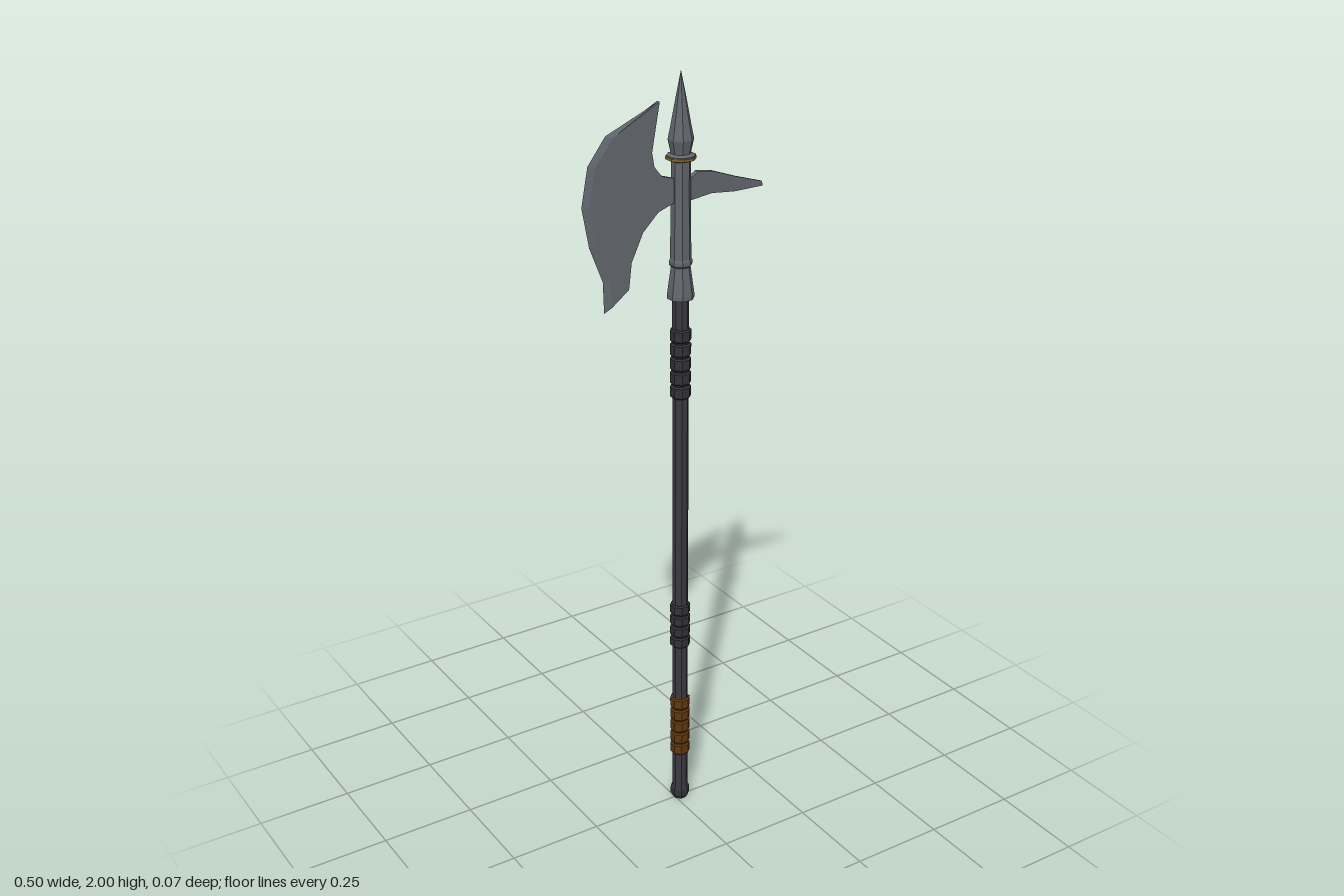
import * as THREE from 'three';

const mat = (name, color, side = THREE.FrontSide) => {
  const m = new THREE.MeshStandardMaterial({ color, flatShading: true, side });
  m.name = name;
  return m;
};

export function createModel() {
  const steel = mat('steel', 0x62676e);
  const bladeSteel = mat('bladeSteel', 0x646970, THREE.DoubleSide);
  const wood = mat('darkWood', 0x3a3a41);
  const wrap = mat('blackWrap', 0x323237);
  const leather = mat('brownLeather', 0x60380f);
  const brass = mat('brass', 0x8a6828);

  const model = new THREE.Group();
  model.name = 'poleaxe';
  const axisX = 0.016;

  const add = (name, geometry, material, parent = model) => {
    const mesh = new THREE.Mesh(geometry, material);
    mesh.name = name;
    parent.add(mesh);
    return mesh;
  };

  // Eight-sided turned part; profile is [half width across flats, height], bottom to top
  const turned = (name, profile, material, parent) => {
    const pts = profile.map(([a, y]) => new THREE.Vector2(a / Math.cos(Math.PI / 8), y));
    const mesh = add(name, new THREE.LatheGeometry(pts, 8, Math.PI / 8), material, parent);
    mesh.position.x = axisX;
    return mesh;
  };

  // Shaft and pommel
  turned('shaft', [[0.019, 0.03], [0.019, 1.47]], wood);
  turned('pommel', [[0, 0], [0.018, 0], [0.024, 0.013], [0.024, 0.03], [0.019, 0.04], [0, 0.04]], wrap);

  // Bands wound around the shaft
  const bands = (name, y0, y1, count, material) => {
    const group = new THREE.Group();
    group.name = name;
    model.add(group);
    const step = (y1 - y0) / count;
    for (let i = 0; i < count; i++) {
      const y = y0 + i * step;
      turned('band', [[0.0205, y], [0.0245, y + step * 0.12], [0.0245, y + step * 0.8],
        [0.0205, y + step * 0.9], [0.0205, y + step]], material, group);
    }
  };
  bands('upperWrap', 1.19, 1.375, 5, wrap);
  bands('lowerWrap', 0.48, 0.61, 4, wrap);
  bands('leatherGrip', 0.145, 0.325, 5, leather);

  // Steel socket with flared foot
  turned('socket', [[0, 1.45], [0.031, 1.45], [0.031, 1.46], [0.022, 1.53], [0.026, 1.535],
    [0.026, 1.545], [0.024, 1.55], [0.022, 1.7], [0.022, 1.8]], steel);

  // Collar and top spike
  turned('collar', [[0.022, 1.788], [0.0345, 1.793], [0.0345, 1.799], [0.022, 1.803]], brass);
  turned('spike', [[0, 1.797], [0.033, 1.797], [0.033, 1.802], [0.022, 1.806], [0.029, 1.84],
    [0.024, 1.865], [0.012, 1.935], [0, 2]], steel);

  // Flat plate whose half thickness follows x
  const plate = (name, outline, thickness) => {
    const shape = new THREE.Shape(outline.map(([x, y]) => new THREE.Vector2(x, y)));
    const geo = new THREE.ExtrudeGeometry(shape, { depth: 2, bevelEnabled: false });
    const p = geo.attributes.position;
    for (let i = 0; i < p.count; i++) p.setZ(i, (p.getZ(i) - 1) * thickness(p.getX(i)));
    geo.computeVertexNormals();
    return add(name, geo, bladeSteel);
  };

  // Axe blade: a slab plus a ground cutting edge
  const half = 0.0055;
  const edge = [[-0.187, 1.875], [-0.235, 1.812], [-0.253, 1.718], [-0.235, 1.62], [-0.2, 1.53], [-0.198, 1.452]];
  const inner = edge.map(([x, y], i) => [x + 0.018, y + [-0.004, -0.004, 0, 0.002, 0.003, 0.012][i]]);
  plate('axeBlade', [[-0.045, 1.935], ...inner, [-0.132, 1.5], [-0.124, 1.565], [-0.092, 1.633],
    [-0.05, 1.675], [-0.008, 1.69], [0.016, 1.69], [0.016, 1.75], [-0.008, 1.75], [-0.04, 1.76],
    [-0.06, 1.785], [-0.066, 1.82]], () => half);

  const tri = [];
  const outer = [[-0.045, 1.935], ...edge, [-0.132, 1.5]];
  const inset = [[-0.045, 1.935], ...inner, [-0.132, 1.5]];
  for (const s of [1, -1]) {
    for (let i = 0; i < outer.length - 1; i++) {
      const a = [...outer[i], 0], b = [...outer[i + 1], 0];
      const c = [...inset[i + 1], s * half], d = [...inset[i], s * half];
      if (s > 0) tri.push(...a, ...b, ...c, ...a, ...c, ...d);
      else tri.push(...a, ...c, ...b, ...a, ...d, ...c);
    }
  }
  const edgeGeo = new THREE.BufferGeometry();
  edgeGeo.setAttribute('position', new THREE.Float32BufferAttribute(tri, 3));
  edgeGeo.computeVertexNormals();
  add('cuttingEdge', edgeGeo, bladeSteel);

  // Rear beak tapering to a thin tip
  plate('beak', [[0.016, 1.69], [0.04, 1.69], [0.1, 1.697], [0.166, 1.69], [0.25, 1.69], [0.247, 1.702],
    [0.17, 1.726], [0.103, 1.75], [0.06, 1.756], [0.04, 1.742], [0.016, 1.742]],
  x => THREE.MathUtils.mapLinear(x, 0.016, 0.25, 0.008, 0.002));

  return model;
}
